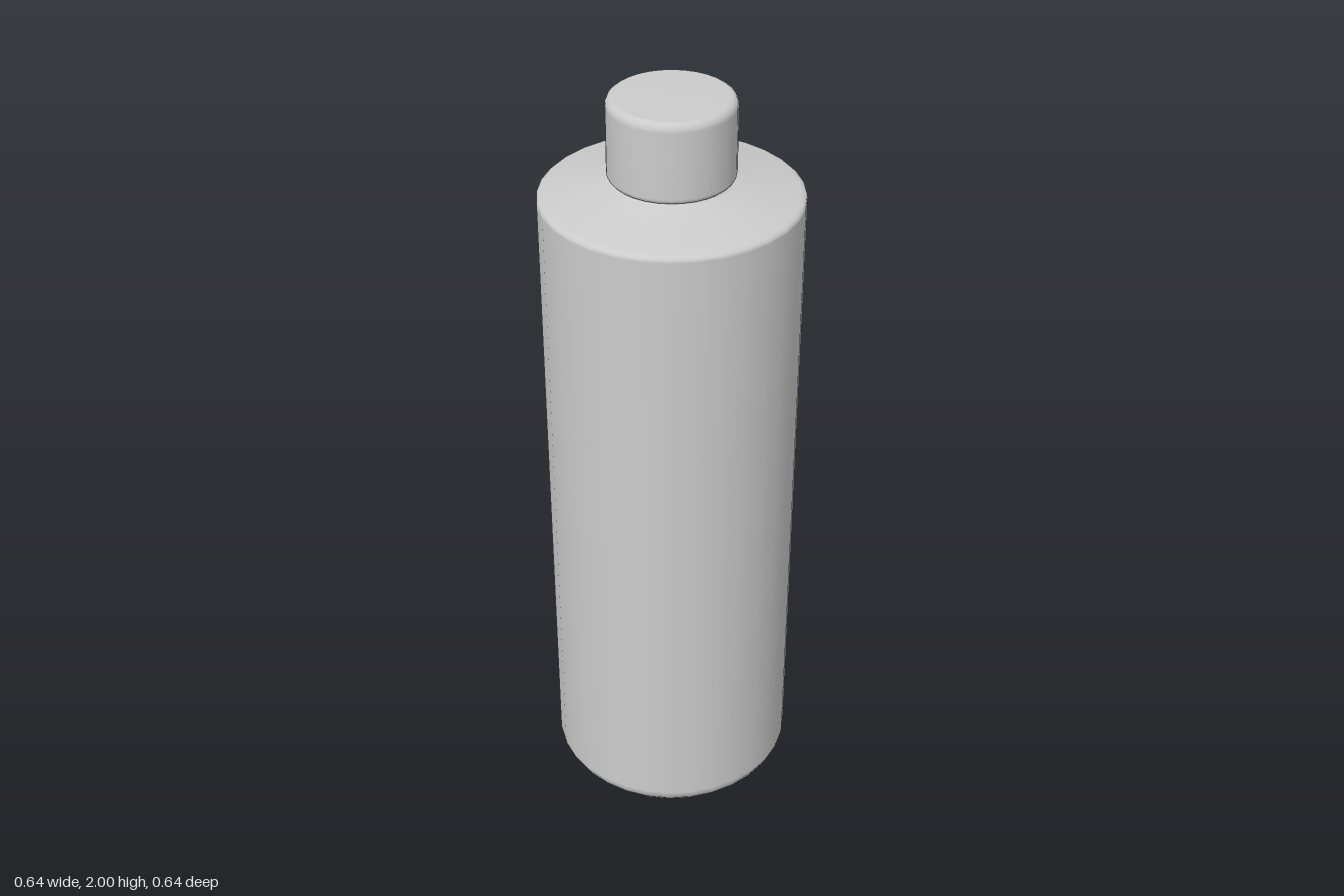
import * as THREE from 'three';

const SIDES = 32;

// Revolve a bottom-to-top list of [radius, height] pairs around y.
function revolve(name, profile) {
  const points = profile.map(([r, y]) => new THREE.Vector2(r, y));
  const mesh = new THREE.Mesh(
    new THREE.LatheGeometry(points, SIDES),
    new THREE.MeshStandardMaterial({ color: 0xcccccc })
  );
  mesh.name = name;
  return mesh;
}

export function createModel() {
  const model = new THREE.Group();
  model.name = 'bottle';

  // Straight wall with a rounded foot, sloping shoulder and short neck
  model.add(revolve('bottleBody', [
    [0, 0], [0.228, 0], [0.235, 0.002], [0.262, 0.016], [0.288, 0.036],
    [0.308, 0.06], [0.317, 0.078], [0.318, 0.09],
    [0.318, 1.745], [0.317, 1.752], [0.311, 1.757], [0.302, 1.76],
    [0.22, 1.777], [0.15, 1.794], [0.143, 1.797], [0.141, 1.803], [0.14, 1.83],
  ]));

  // Screw cap with softened rims
  model.add(revolve('cap', [
    [0, 1.801], [0.143, 1.801], [0.149, 1.803], [0.152, 1.808], [0.153, 1.814],
    [0.153, 1.978], [0.152, 1.986], [0.148, 1.994], [0.141, 1.999], [0.133, 2],
    [0, 2],
  ]));

  return model;
}
